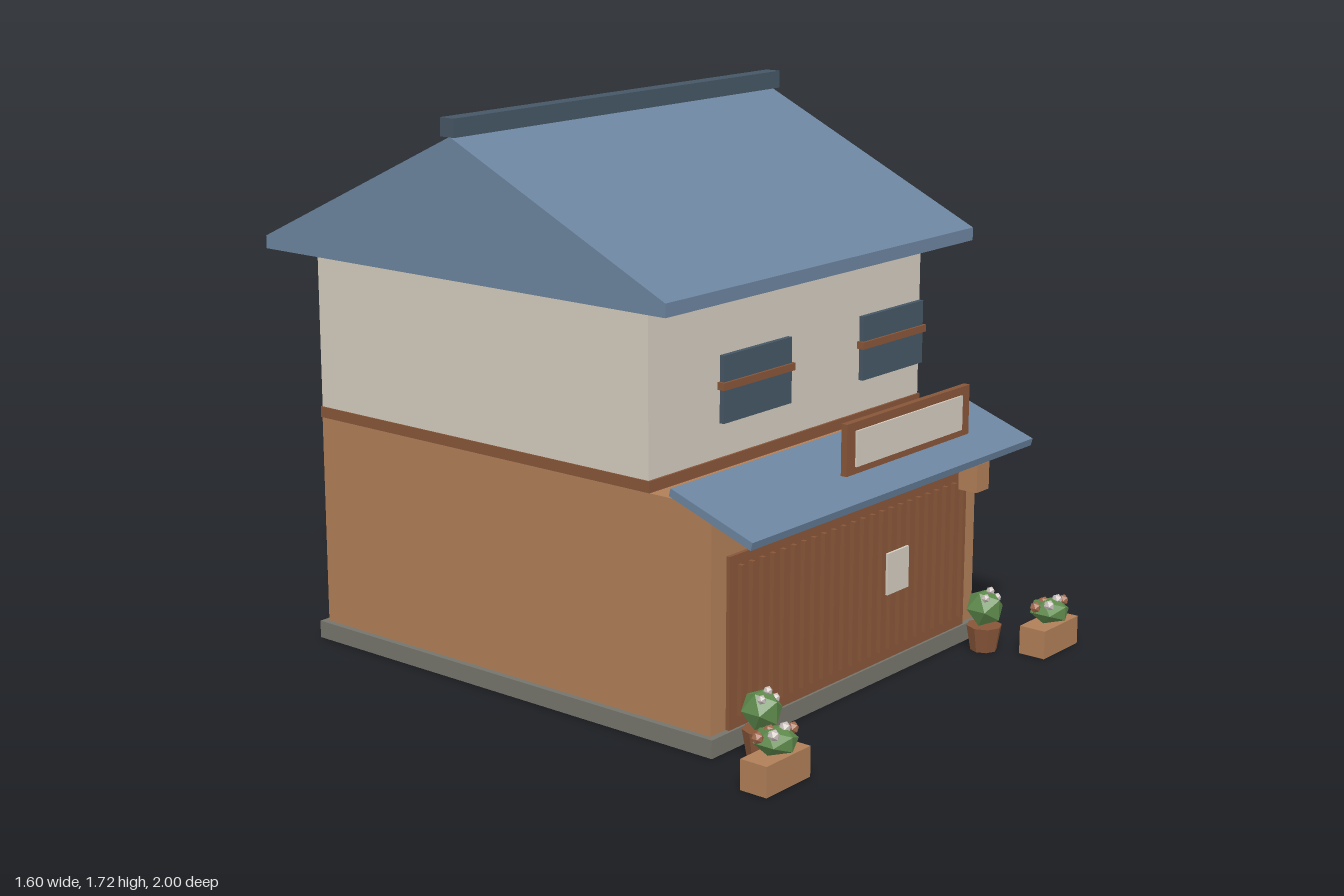
import * as THREE from 'three';

const mat = (name, color, flatShading = false) => {
  const m = new THREE.MeshStandardMaterial({ color });
  m.name = name;
  m.flatShading = flatShading;
  return m;
};

export function createModel() {
  const wood = mat('warm wood', 0xb07f58);
  const brown = mat('dark brown wood', 0x885639, true);
  const cream = mat('cream plaster', 0xd4ccbf);
  const tile = mat('blue roof tile', 0x6b849f);
  const slate = mat('dark slate', 0x465765);
  const stone = mat('grey stone', 0x75746c);
  const leaf = mat('green leaves', 0x5f8a4c, true);
  const pale = mat('pale blossom', 0xc8bfbb, true);
  const rust = mat('rust blossom', 0xa0694c, true);

  const model = new THREE.Group();
  model.name = 'house';

  const add = (name, geometry, material, parent = model) => {
    const mesh = new THREE.Mesh(geometry, material);
    mesh.name = name;
    parent.add(mesh);
    return mesh;
  };
  // Box given by its limits on each axis
  const box = (name, material, [x0, x1], [y0, y1], [z0, z1], parent) => {
    const mesh = add(name, new THREE.BoxGeometry(x1 - x0, y1 - y0, z1 - z0), material, parent);
    mesh.position.set((x0 + x1) / 2, (y0 + y1) / 2, (z0 + z1) / 2);
    return mesh;
  };
  // Prism along x from a (z, y) outline
  const prism = (name, material, outline, width) => {
    const shape = new THREE.Shape(outline.map(([z, y]) => new THREE.Vector2(z, y)));
    const g = new THREE.ExtrudeGeometry(shape, { depth: width, bevelEnabled: false });
    g.translate(0, 0, -width / 2).rotateY(-Math.PI / 2);
    return add(name, g, material);
  };
  const ball = (name, material, r, x, y, z, parent) => {
    const mesh = add(name, new THREE.IcosahedronGeometry(r, 0), material, parent);
    mesh.position.set(x, y, z);
    return mesh;
  };

  // Walls
  box('foundation', stone, [-0.68, 0.68], [0, 0.055], [-0.89, 0.7]);
  box('lowerStorey', wood, [-0.66, 0.66], [0.055, 0.72], [-0.87, 0.68]);
  box('upperStorey', cream, [-0.66, 0.66], [0.72, 1.25], [-0.868, 0.455]);
  box('floorTrim', brown, [-0.664, 0.664], [0.721, 0.755], [-0.872, 0.462]);

  // Roofs
  prism('mainRoof', tile, [[-1, 1.25], [0.59, 1.25], [0.59, 1.29], [-0.205, 1.665], [-1, 1.29]], 1.495);
  box('roofRidge', slate, [-0.757, 0.757], [1.665, 1.72], [-0.232, -0.178]);
  prism('awning', tile, [[0.851, 0.642], [0.857, 0.665], [0.572, 0.765], [0.566, 0.742]], 1.41);

  // Upper windows, each with a rail
  for (const s of [-1, 1]) {
    const x = s * 0.332;
    box('window', slate, [x - 0.156, x + 0.156], [0.905, 1.1], [0.57, 0.585]);
    box('windowRail', brown, [x - 0.164, x + 0.164], [1.002, 1.024], [0.568, 0.592]);
  }

  // Blank sign board above the awning
  box('signFrame', brown, [-0.307, 0.307], [0.765, 0.915], [0.857, 0.877]);
  box('signPanel', cream, [-0.267, 0.264], [0.786, 0.89], [0.876, 0.883]);

  // Lattice front
  box('latticePanel', brown, [-0.593, 0.593], [0.055, 0.565], [0.68, 0.692]);
  const lattice = new THREE.Group();
  lattice.name = 'lattice';
  model.add(lattice);
  for (let i = 0; i < 24; i++) {
    const x = -0.551 + i * 0.0483;
    box('slat', brown, [x - 0.006, x + 0.006], [0.09, 0.535], [0.69, 0.707], lattice);
  }
  box('notice', cream, [0.14, 0.25], [0.27, 0.4], [0.707, 0.715]);
  box('lantern', wood, [0.535, 0.603], [0.51, 0.598], [0.7, 0.767]);

  // Flower boxes and potted shrubs on both sides
  const boxBlooms = [[-0.065, 0.148, -0.012], [-0.033, 0.152, 0.018], [-0.003, 0.148, -0.02],
    [0.027, 0.155, 0.01], [0.06, 0.146, 0.012]];
  const potBlooms = [[-0.03, 0.178, 0.022], [0.012, 0.19, 0.012], [0.03, 0.168, 0.025]];
  for (const s of [-1, 1]) {
    const planter = new THREE.Group();
    planter.name = 'flowerBox';
    planter.position.set(s * 0.703, 0, 0.94);
    model.add(planter);
    box('trough', wood, [-0.098, 0.098], [0, 0.09], [-0.045, 0.045], planter);
    ball('boxLeaves', leaf, 0.067, 0, 0.125, 0, planter).scale.y = 0.6;
    boxBlooms.forEach(([x, y, z], i) => ball('bloom', i % 2 ? pale : rust, 0.018, x, y, z, planter));

    const plant = new THREE.Group();
    plant.name = 'pottedShrub';
    plant.position.set(s * 0.568, 0, 0.788);
    model.add(plant);
    add('pot', new THREE.CylinderGeometry(0.056, 0.042, 0.08, 8), brown, plant).position.y = 0.04;
    ball('shrub', leaf, 0.062, 0, 0.137, 0, plant);
    for (const [x, y, z] of potBlooms) ball('bloom', pale, 0.014, x, y, z, plant);
  }
  return model;
}
